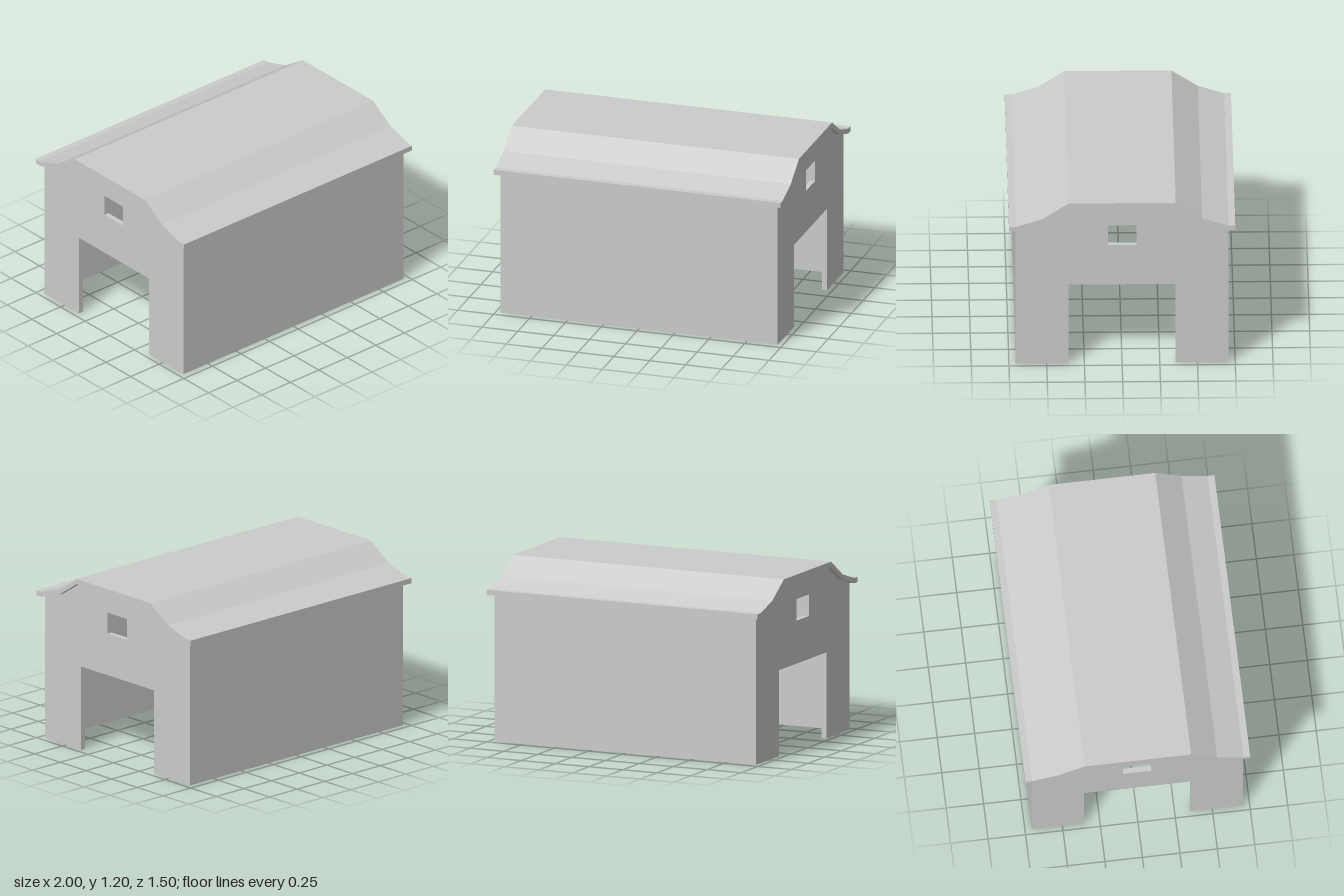
import * as THREE from 'three';

const material = new THREE.MeshStandardMaterial({ color: 0xcccccc, flatShading: true });
const WALL = 0.035;      // wall and roof thickness
const WALL_X = 0.965;    // outer half length of the walls
const WALL_Z = 0.705;    // outer half width of the walls

// Roof underside from eave to crown, as [z, y]
const EAVE = [[0.75, 0.99], [WALL_Z, 0.99], [0.53, 1.045], [0.355, 1.16]];

const points = (list) => list.map(([z, y]) => new THREE.Vector2(z, y));
const mirrored = (list) => [...list, ...list.map(([z, y]) => [-z, y]).reverse()];

// Extrudes a cross-section along x, centred on the given x
function extrudeAlongX(name, shape, length, x) {
  const geometry = new THREE.ExtrudeGeometry(shape, { depth: length, bevelEnabled: false });
  geometry.translate(0, 0, -length / 2).rotateY(Math.PI / 2);
  const mesh = new THREE.Mesh(geometry, material);
  mesh.name = name;
  mesh.position.x = x;
  return mesh;
}

export function createModel() {
  const model = new THREE.Group();
  model.name = 'barn';

  // Bent roof sheet with flat crown and flared eaves
  const under = mirrored(EAVE);
  const over = under.map(([z, y]) => [z, y + WALL]).reverse();
  const roof = new THREE.Shape(points([...under, ...over]));
  model.add(extrudeAlongX('roof', roof, 2, 0));

  // End walls with a doorway and a small window
  const half = [[0.355, 0.58], [0.355, 0], [WALL_Z, 0], ...EAVE.slice(1)];
  const gable = new THREE.Shape(points(mirrored(half)));
  gable.holes.push(new THREE.Path(points([
    [-0.095, 0.87], [-0.095, 1.015], [0.095, 1.015], [0.095, 0.87],
  ])));

  for (const side of [1, -1]) {
    const label = side > 0 ? 'left' : 'right';
    model.add(extrudeAlongX(label + 'EndWall', gable, WALL, side * (WALL_X - WALL / 2)));

    // Long walls fitted between the end walls
    const wall = new THREE.Mesh(new THREE.BoxGeometry(2 * WALL_X - 2 * WALL, 0.99, WALL), material);
    wall.name = side > 0 ? 'frontWall' : 'backWall';
    wall.position.set(0, 0.495, side * (WALL_Z - WALL / 2));
    model.add(wall);
  }
  return model;
}
